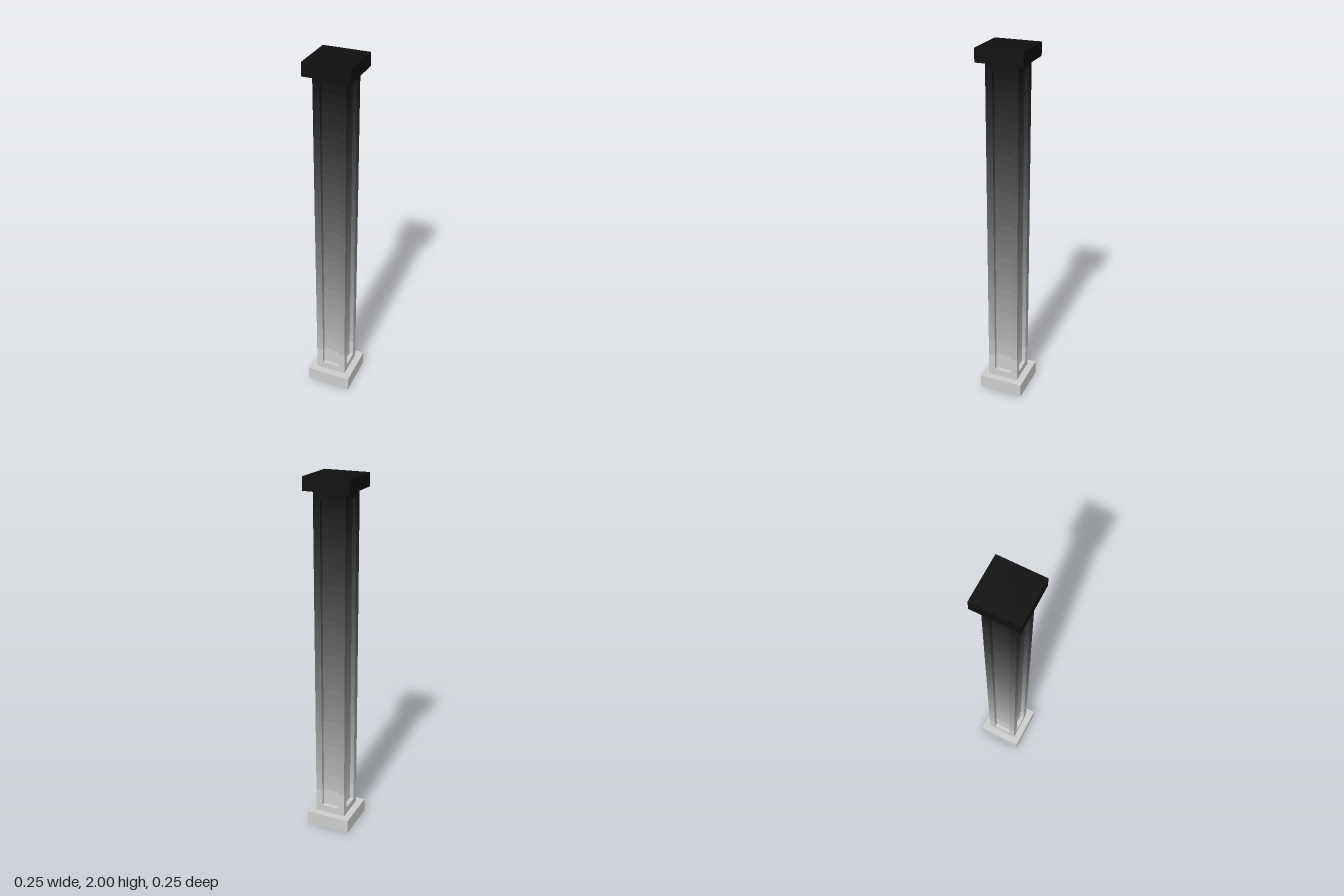
import * as THREE from 'three';

const HALF = 0.0875;      // half width of the shaft
const PANEL = 0.05;       // half width of the sunken panels
const DEPTH = 0.023;      // depth of the panels
const FOOT = 0.08, NECK = 1.93;             // ends of the shaft
const PANEL_LOW = 0.12, PANEL_HIGH = 1.89;  // ends of the panels
const BANDS = 36;

// The shaft darkens evenly from light grey at the foot to near black at the neck.
function shade(y) {
  const t = THREE.MathUtils.clamp((y - FOOT) / (NECK - FOOT), 0, 1);
  const v = Math.round(THREE.MathUtils.lerp(0xcc, 0x0f, t));
  return new THREE.MeshStandardMaterial({ color: (v << 16) | (v << 8) | v });
}

function block(name, half, y0, y1, shadeY) {
  const mesh = new THREE.Mesh(new THREE.BoxGeometry(half * 2, y1 - y0, half * 2), shade(shadeY));
  mesh.position.y = (y0 + y1) / 2;
  mesh.name = name;
  return mesh;
}

// Outline of the panelled shaft: one side, turned a quarter four times.
function shaftOutline() {
  const inner = HALF - DEPTH;
  let side = [[-HALF, HALF], [-PANEL, HALF], [-PANEL, inner], [PANEL, inner], [PANEL, HALF]];
  const points = [];
  for (let i = 0; i < 4; i++) {
    points.push(...side);
    side = side.map(([x, z]) => [z, -x]);
  }
  return points;
}

// Open upright walls that follow an outline.
function wallGeometry(outline, height) {
  const positions = [];
  outline.forEach(([ax, az], i) => {
    const [bx, bz] = outline[(i + 1) % outline.length];
    positions.push(ax, 0, az, bx, 0, bz, bx, height, bz);
    positions.push(ax, 0, az, bx, height, bz, ax, height, az);
  });
  const geometry = new THREE.BufferGeometry();
  geometry.setAttribute('position', new THREE.Float32BufferAttribute(positions, 3));
  geometry.computeVertexNormals();
  return geometry;
}

export function createModel() {
  const column = new THREE.Group();
  column.name = 'column';

  // Plinth and capital
  column.add(block('base', 0.126, 0, FOOT, FOOT));
  column.add(block('capital', 0.126, NECK, 2, NECK));

  // Solid ends of the shaft, above and below the panels
  const shaft = new THREE.Group();
  shaft.name = 'shaft';
  shaft.add(block('lowerRail', HALF, FOOT, PANEL_LOW, (FOOT + PANEL_LOW) / 2));
  shaft.add(block('upperRail', HALF, PANEL_HIGH, NECK, (PANEL_HIGH + NECK) / 2));

  // Panelled shaft in thin bands, each a little darker than the one below
  const step = (PANEL_HIGH - PANEL_LOW) / BANDS;
  const bandGeometry = wallGeometry(shaftOutline(), step);
  for (let i = 0; i < BANDS; i++) {
    const y = PANEL_LOW + i * step;
    const band = new THREE.Mesh(bandGeometry, shade(y + step / 2));
    band.position.y = y;
    band.name = 'panelledBand';
    shaft.add(band);
  }
  column.add(shaft);
  return column;
}
